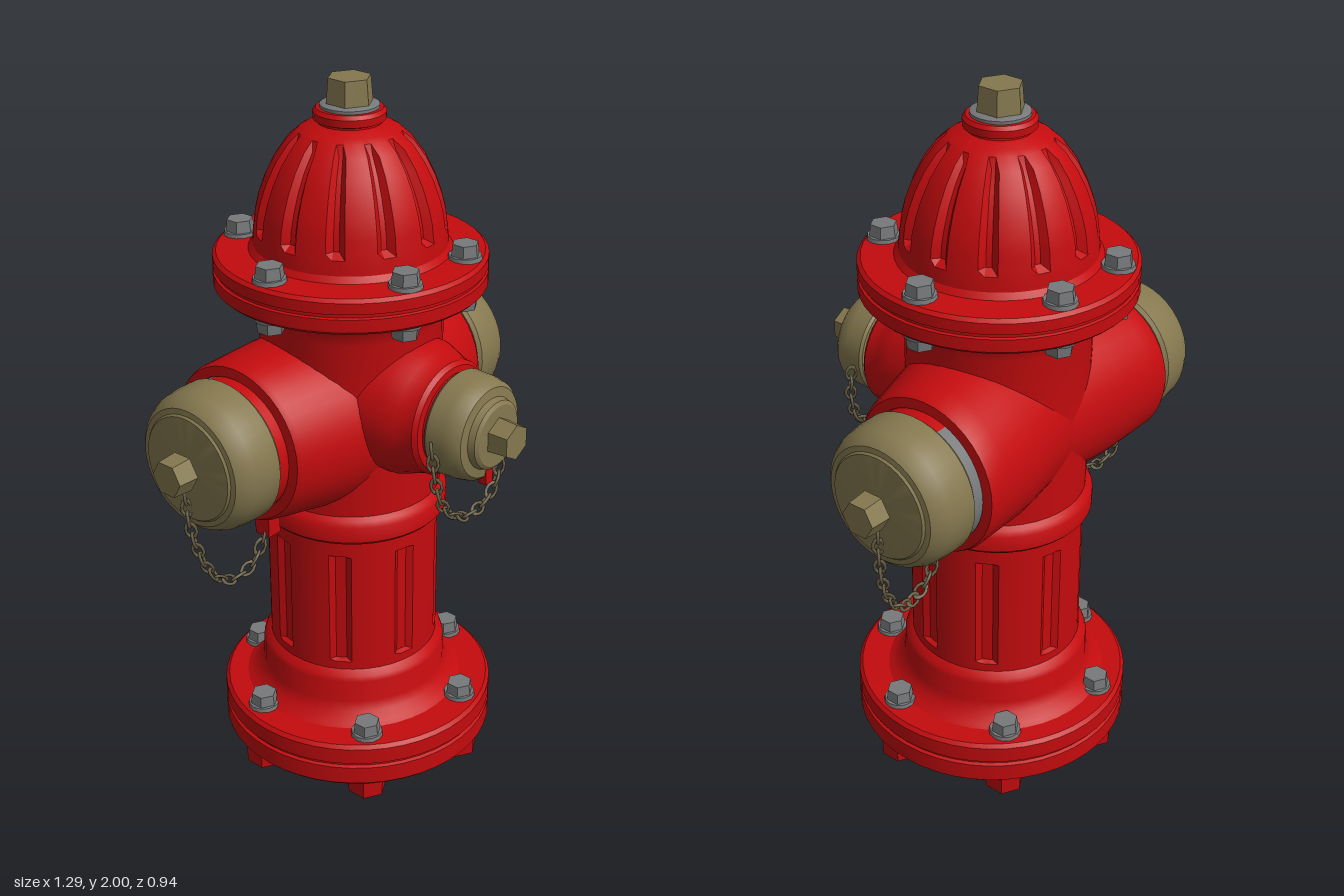
import * as THREE from 'three';
import { mergeGeometries, toCreasedNormals } from 'three/addons/utils/BufferGeometryUtils.js';

const mat = (name, color, side = THREE.FrontSide) => {
  const m = new THREE.MeshStandardMaterial({ color, side });
  m.name = name;
  return m;
};

export function createModel() {
  const red = mat('red paint', 0xc40b0e);
  const tan = mat('tan brass', 0x85784f);
  const grey = mat('grey steel', 0x77797a);
  const chainMat = mat('dark chain', 0x6a6047);
  const AXIS = -0.09; // the barrel sits behind the centre
  const model = new THREE.Group();
  model.name = 'fireHydrant';

  const add = (parent, name, geo, material, x = 0, y = 0, z = 0) => {
    const m = new THREE.Mesh(geo, material);
    m.name = name;
    m.position.set(x, y, z);
    parent.add(m);
    return m;
  };
  const lathe = (pts, segs = 40, start = 0, len = Math.PI * 2) =>
    new THREE.LatheGeometry(pts.map(([r, y]) => new THREE.Vector2(r, y)), segs, start, len);
  const turned = (...args) => toCreasedNormals(lathe(...args), 0.6);

  // Lathe with vertical grooves pressed in between two heights
  const grooved = (pts, count, width, depth, y0, y1) => {
    const segs = 96, g = lathe(pts, segs), p = g.attributes.position;
    for (let k = 0; k < p.count; k++) {
      const step = Math.floor(k / pts.length) % (segs / count);
      const y = p.getY(k);
      if (step >= width || y < y0 || y > y1) continue;
      const r = Math.hypot(p.getX(k), p.getZ(k)), s = (r - depth) / r;
      p.setX(k, p.getX(k) * s);
      p.setZ(k, p.getZ(k) * s);
    }
    return toCreasedNormals(g, 0.45);
  };

  // Hexagonal bolt head on a washer, pointing up or down
  const bolt = (name, x, y, z, dir = 1) => {
    const g = new THREE.Group();
    g.name = name;
    g.position.set(x, y, z);
    if (dir < 0) g.rotation.x = Math.PI;
    add(g, 'washer', new THREE.CylinderGeometry(0.044, 0.046, 0.012, 12), grey, 0, 0.006, 0);
    add(g, 'hexHead', toCreasedNormals(new THREE.CylinderGeometry(0.036, 0.04, 0.034, 6), 0.3), grey, 0, 0.027, 0);
    model.add(g);
  };

  // Base flange, collar and fluted barrel
  add(model, 'baseFlange', turned([[0, 0.055], [0.385, 0.055], [0.395, 0.065], [0.395, 0.118], [0.386, 0.122],
    [0.386, 0.13], [0.395, 0.134], [0.395, 0.182], [0.385, 0.192], [0, 0.196]], 48), red, 0, 0, -0.075);
  add(model, 'baseCollar', turned([[0.34, 0.18], [0.305, 0.2], [0.28, 0.222], [0.268, 0.25], [0.266, 0.315],
    [0.26, 0.33], [0.243, 0.345], [0.2, 0.345]]), red, 0, 0, AXIS);
  const barrel = add(model, 'barrel', grooved([[0.243, 0.33], [0.243, 0.37], [0.243, 0.376], [0.243, 0.715],
    [0.243, 0.72], [0.243, 0.8]], 8, 3, 0.014, 0.375, 0.716), red, 0, 0, AXIS);
  barrel.rotation.y = -0.29;
  add(model, 'upperBody', turned([[0.24, 0.765], [0.258, 0.77], [0.267, 0.78], [0.267, 0.825], [0.258, 0.84],
    [0.247, 0.85], [0.25, 1.1], [0.25, 1.36], [0.258, 1.4], [0.28, 1.43], [0.3, 1.46]]), red, 0, 0, AXIS);

  // Bonnet flange, fluted dome and top nut
  add(model, 'bonnetFlange', turned([[0.24, 1.445], [0.36, 1.445], [0.368, 1.453], [0.368, 1.488], [0.361, 1.491],
    [0.361, 1.499], [0.368, 1.502], [0.368, 1.532], [0.358, 1.541], [0.24, 1.545]], 48), red, 0, 0, AXIS);
  add(model, 'bonnetDome', grooved([[0.275, 1.54], [0.26, 1.56], [0.257, 1.6], [0.254, 1.615], [0.25, 1.65],
    [0.24, 1.69], [0.222, 1.74], [0.197, 1.79], [0.165, 1.835], [0.135, 1.862], [0.118, 1.872], [0.08, 1.885]],
  12, 2, 0.02, 1.61, 1.85), red, 0, 0, AXIS);
  add(model, 'bonnetNeck', turned([[0.085, 1.86], [0.085, 1.888], [0.095, 1.892], [0.096, 1.912], [0.088, 1.922],
    [0, 1.923]], 24), red, 0, 0, AXIS);
  add(model, 'topWasher', turned([[0.078, 1.92], [0.078, 1.93], [0.07, 1.934], [0, 1.934]], 24), grey, 0, 0, AXIS);
  add(model, 'topNut', toCreasedNormals(new THREE.CylinderGeometry(0.058, 0.064, 0.07, 6), 0.3), tan, 0, 1.965, AXIS);

  // Bonnet bolts, with nuts below the flange
  for (const deg of [0, 67, 113, 180, 247, 293]) {
    const a = THREE.MathUtils.degToRad(deg);
    const x = 0.315 * Math.cos(a), z = AXIS + 0.312 * Math.sin(a);
    bolt('bonnetBolt', x, 1.541, z);
    bolt('bonnetNut', x, 1.447, z, -1);
  }
  // Base bolts, with larger feet nuts below
  for (let i = 0; i < 6; i++) {
    const a = THREE.MathUtils.degToRad(15 + i * 60);
    const x = 0.33 * Math.cos(a), z = -0.075 + 0.33 * Math.sin(a);
    bolt('baseBolt', x, 0.192, z);
    add(model, 'footNut', toCreasedNormals(new THREE.CylinderGeometry(0.058, 0.056, 0.06, 6), 0.3),
      [red, red, grey], x, 0.03, z);
  }

  // Outlet parts are turned along +y, then the group is aimed outwards
  const outlet = (name, o) => {
    const g = new THREE.Group();
    g.name = name;
    const nozzle = lathe(o.nozzle);
    const p = nozzle.attributes.position;
    for (let k = 0; k < p.count; k++) p.setZ(k, p.getZ(k) + (o.tip - p.getY(k)) * o.lean);
    add(g, 'nozzle', toCreasedNormals(nozzle, 0.6), red);
    add(g, 'cap', turned(o.cap), tan);
    add(g, 'capStem', new THREE.CylinderGeometry(0.03, 0.03, 0.05, 12), tan, 0, o.nut - 0.03, 0);
    add(g, 'capNut', toCreasedNormals(new THREE.CylinderGeometry(0.05, 0.054, 0.06, 6), 0.3), tan, 0, o.nut + 0.03, 0);
    model.add(g);
    return g;
  };

  // Chain of alternating oval links along a hanging curve
  const chain = (name, pts) => {
    const curve = new THREE.CatmullRomCurve3(pts.map((q) => new THREE.Vector3(...q)));
    const n = Math.round(curve.getLength() / 0.034), links = [];
    for (let i = 0; i <= n; i++) {
      const link = new THREE.TorusGeometry(0.014, 0.0045, 5, 10);
      link.scale(1.6, 1, 1);
      link.rotateX(i % 2 ? Math.PI / 4 : -Math.PI / 4);
      link.applyQuaternion(new THREE.Quaternion().setFromUnitVectors(
        new THREE.Vector3(1, 0, 0), curve.getTangentAt(i / n)));
      link.translate(...curve.getPointAt(i / n).toArray());
      links.push(link);
    }
    add(model, name, mergeGeometries(links), chainMat);
  };

  // Two large side outlets, each with cap, lug and chain
  for (const s of [1, -1]) {
    const side = s > 0 ? 'left' : 'right';
    const g = outlet(side + 'Outlet', {
      tip: 0.39, lean: 0.17, nut: 0.585,
      nozzle: [[0.25, 0], [0.246, 0.2], [0.232, 0.32], [0.225, 0.375], [0.218, 0.388], [0.19, 0.39]],
      cap: [[0.15, 0.42], [0.19, 0.422], [0.199, 0.432], [0.199, 0.47], [0.193, 0.52], [0.18, 0.548],
        [0.165, 0.562], [0.15, 0.564], [0.145, 0.57], [0, 0.573]],
    });
    g.position.set(0, 1.08, -0.16);
    g.rotation.z = -s * Math.PI / 2;
    const ring = [[0.188, 0.375], [0.188, 0.425]];
    add(g, 'neckRing', turned(ring, 28, -1.95, 3.9), red);
    add(g, 'steelRing', turned(ring, 18, 1.95, 2 * Math.PI - 3.9), grey);
    add(model, side + 'ChainLug', new THREE.BoxGeometry(0.045, 0.1, 0.05), red, s * 0.305, 0.83, -0.135);
    chain(side + 'Chain', [[0.578, 1.0, -0.165], [0.57, 0.9, -0.16], [0.535, 0.78, -0.15], [0.485, 0.71, -0.145],
      [0.43, 0.69, -0.14], [0.37, 0.71, -0.135], [0.33, 0.76, -0.135], [0.31, 0.81, -0.135]]
      .map(([x, y, z]) => [s * x, y, z]));
  }

  // Smaller front outlet with its chain looped below
  const front = outlet('frontOutlet', {
    tip: 0.27, lean: 0, nut: 0.41,
    nozzle: [[0.2, 0], [0.19, 0.15], [0.172, 0.2], [0.162, 0.225], [0.16, 0.25], [0.15, 0.262],
      [0.132, 0.264], [0.132, 0.29]],
    cap: [[0.12, 0.275], [0.14, 0.276], [0.146, 0.284], [0.144, 0.335], [0.137, 0.37], [0.125, 0.383],
      [0.1, 0.387], [0.095, 0.405], [0.085, 0.412], [0, 0.413]],
  });
  front.position.set(0, 1.14, 0);
  front.rotation.x = Math.PI / 2;
  add(model, 'frontChainLug', new THREE.BoxGeometry(0.03, 0.06, 0.025), red, 0, 1.02, 0.375);
  chain('frontChain', [[-0.15, 1.12, 0.31], [-0.145, 1.03, 0.32], [-0.115, 0.94, 0.33], [-0.06, 0.895, 0.335],
    [0, 0.88, 0.335], [0.06, 0.895, 0.335], [0.115, 0.94, 0.33], [0.145, 1.03, 0.32], [0.15, 1.1, 0.31]]);

  return model;
}
